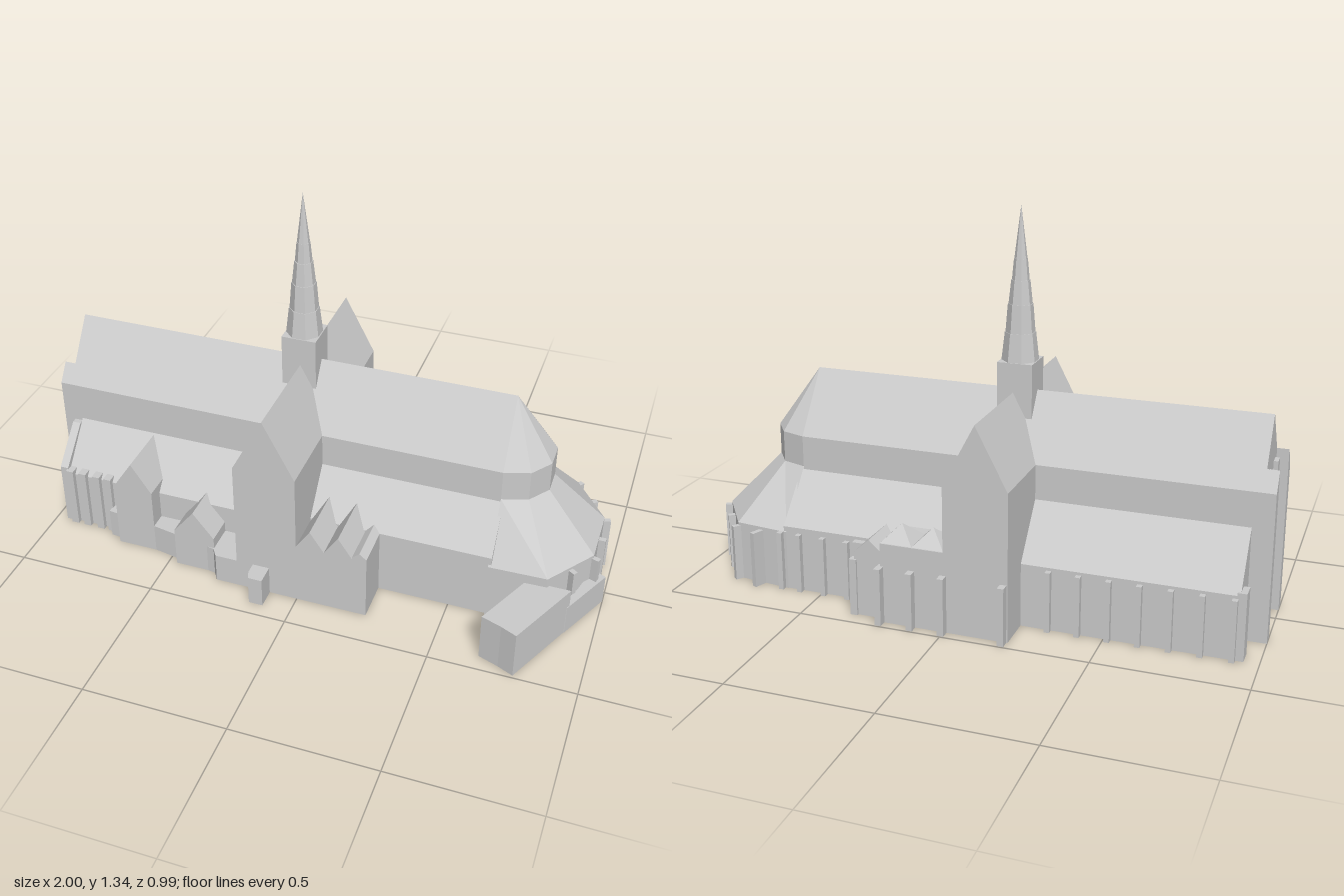
import * as THREE from 'three';

export function createModel() {
  const model = new THREE.Group();
  const mat = new THREE.MeshStandardMaterial({ color: 0xcccccc, flatShading: true });
  const AXIS = -0.04; // z of the main ridge

  function add(name, geo) {
    const mesh = new THREE.Mesh(geo, mat);
    mesh.name = name;
    model.add(mesh);
    return mesh;
  }
  const extrude = (pts, depth) => new THREE.ExtrudeGeometry(
    new THREE.Shape(pts.map(([a, b]) => new THREE.Vector2(a, b))), { depth, bevelEnabled: false });

  // Cross-section [z, y] swept along x
  const alongX = (name, pts, x0, x1) =>
    add(name, extrude(pts.map(([z, y]) => [-z, y]), x1 - x0).rotateY(Math.PI / 2).translate(x0, 0, 0));
  // Cross-section [x, y] swept along z
  const alongZ = (name, pts, z0, z1) => add(name, extrude(pts, z1 - z0).translate(0, 0, z0));
  // Footprint [x, z] raised from the ground
  const block = (name, pts, h) =>
    add(name, extrude(pts.map(([x, z]) => [x, -z]), h).rotateX(-Math.PI / 2));
  const box = (name, x0, x1, y0, y1, z0, z1) =>
    add(name, new THREE.BoxGeometry(x1 - x0, y1 - y0, z1 - z0)
      .translate((x0 + x1) / 2, (y0 + y1) / 2, (z0 + z1) / 2));
  const gable = (name, x0, x1, eave, peak, z0, z1) =>
    alongZ(name, [[x0, 0], [x1, 0], [x1, eave], [(x0 + x1) / 2, peak], [x0, eave]], z0, z1);
  const pyramid = (name, x0, x1, z0, z1, y0, y1) =>
    add(name, new THREE.ConeGeometry(Math.SQRT1_2, 1, 4).rotateY(Math.PI / 4)
      .scale(x1 - x0, y1 - y0, z1 - z0).translate((x0 + x1) / 2, (y0 + y1) / 2, (z0 + z1) / 2));

  // Nave with clerestory and steep roof
  alongX('nave', [[0.11, 0], [0.11, 0.51], [AXIS, 0.72], [-0.19, 0.51], [-0.19, 0]], -0.96, 0.63);

  // West front corner buttresses, capped by the roof slope
  alongX('westButtress', [[0.11, 0], [0.11, 0.51], [0.065, 0.573], [0.065, 0]], -1, -0.95);
  alongX('westButtress', [[-0.19, 0], [-0.19, 0.51], [-0.145, 0.573], [-0.145, 0]], -1, -0.95);
  for (const z of [0.02, -0.1]) box('westDoorPier', -0.975, -0.95, 0, 0.55, z - 0.02, z + 0.02);

  // Side aisles with lean-to roofs
  alongX('westAisles', [[0.245, 0], [0.245, 0.215], [0.11, 0.37], [-0.19, 0.39], [-0.335, 0.22], [-0.335, 0]], -0.93, -0.1);
  alongX('eastAisles', [[0.235, 0], [0.235, 0.245], [0.11, 0.39], [-0.19, 0.39], [-0.335, 0.23], [-0.335, 0]], -0.1, 0.64);
  alongX('southWestCorner', [[0.25, 0], [0.25, 0.24], [0.13, 0.36], [0.1, 0.36], [0.1, 0]], -0.96, -0.93);
  box('northWestCorner', -0.95, -0.92, 0, 0.23, -0.335, -0.28);

  // Five-sided apse and ambulatory
  const profile = [[0, 0], [0.34, 0], [0.34, 0.21], [0.15, 0.4], [0.15, 0.51], [0, 0.72]];
  const apse = new THREE.LatheGeometry(profile.map(([r, y]) => new THREE.Vector2(r, y)), 5, 0, Math.PI);
  const p = apse.attributes.position;
  for (let i = 0; i < p.count; i++) p.setZ(i, THREE.MathUtils.clamp(p.getZ(i), -0.298, 0.28));
  add('apse', apse.translate(0.63, 0, AXIS));

  // Apse buttresses
  for (const deg of [54, 72, 90, 108, 126, 144, 160]) {
    const a = deg * Math.PI / 180;
    const r = deg % 36 === 0 ? 0.34 : 0.325;
    add('apseButtress', new THREE.BoxGeometry(0.018, 0.2, 0.045).rotateY(a)
      .translate(0.63 + r * Math.sin(a), 0.1, AXIS + r * Math.cos(a)));
  }

  // Aisle buttresses
  for (let i = 0; i < 7; i++) {
    const x = -0.915 + i * 0.1;
    box('northButtress', x - 0.009, x + 0.009, 0, 0.21, -0.355, -0.32);
  }
  for (const x of [0.4, 0.49, 0.58, 0.65]) box('northButtress', x - 0.009, x + 0.009, 0, 0.21, -0.355, -0.32);
  for (const x of [-0.92, -0.87, -0.815, -0.77]) box('southButtress', x - 0.014, x + 0.014, 0, 0.235, 0.2, 0.262);

  // Transept and its buttresses
  gable('transept', -0.22, 0, 0.51, 0.72, -0.465, 0.38);
  for (const x of [-0.205, 0, 0.11, 0.22]) box('transeptButtress', x - 0.011, x + 0.011, 0, 0.2, -0.495, -0.45);

  // Crossing tower and tiered octagonal spire
  const sx = -0.115;
  box('crossingTower', sx - 0.061, sx + 0.061, 0.5, 0.82, AXIS - 0.061, AXIS + 0.061);
  const tiers = [ // bottom y, half-width at bottom, half-width at top
    [0.82, 0.058, 0.048], [0.915, 0.046, 0.039], [1.01, 0.037, 0.029],
    [1.09, 0.027, 0.021], [1.16, 0.02, 0], [1.335]];
  for (let i = 0; i < tiers.length - 1; i++) {
    const [y, low, top] = tiers[i], h = tiers[i + 1][0] - y, k = 1 / Math.cos(Math.PI / 8);
    add('spireTier', new THREE.CylinderGeometry(top * k, low * k, h, 8, 1, false, Math.PI / 8)
      .translate(sx, y + h / 2, AXIS));
  }

  // South-east chapel with small gables
  gable('southChapel', 0, 0.1, 0.235, 0.31, 0.17, 0.38);
  gable('southChapel', 0.1, 0.2, 0.235, 0.31, 0.17, 0.38);
  gable('southChapelEnd', 0.2, 0.25, 0.245, 0.265, 0.2, 0.38);

  // North-east chapel with pyramid roofs
  box('northChapel', 0, 0.22, 0, 0.28, -0.465, -0.3);
  for (const x of [0, 0.11]) pyramid('northChapelRoof', x, x + 0.11, -0.46, -0.345, 0.28, 0.335);
  gable('northSacristy', 0.215, 0.325, 0.225, 0.275, -0.44, -0.28);
  box('sacristyButtress', 0.315, 0.34, 0, 0.2, -0.448, -0.42);
  block('sacristyLink', [[0.22, -0.36], [0.37, -0.36], [0.37, -0.3], [0.22, -0.3]], 0.22);

  // South porches and low link
  gable('southPorch', -0.715, -0.57, 0.255, 0.365, 0.1, 0.305);
  gable('smallPorch', -0.47, -0.32, 0.15, 0.245, 0.2, 0.345);
  block('southLink', [[-0.76, 0.2], [-0.2, 0.2], [-0.2, 0.38], [-0.3, 0.38], [-0.32, 0.35], [-0.57, 0.305], [-0.76, 0.28]], 0.11);
  block('southEntrance', [[-0.16, 0.37], [-0.1, 0.37], [-0.1, 0.45], [-0.15, 0.45], [-0.16, 0.42]], 0.11);

  // South-east annex and its curved connection
  block('annex', [[0.76, 0.225], [0.91, 0.225], [0.785, 0.49], [0.73, 0.465], [0.66, 0.44]], 0.175);
  block('annexLink', [[0.8, 0.24], [0.86, 0.22], [0.92, 0.14], [0.95, 0.02], [1, 0.045], [0.905, 0.24]], 0.11);

  return model;
}
